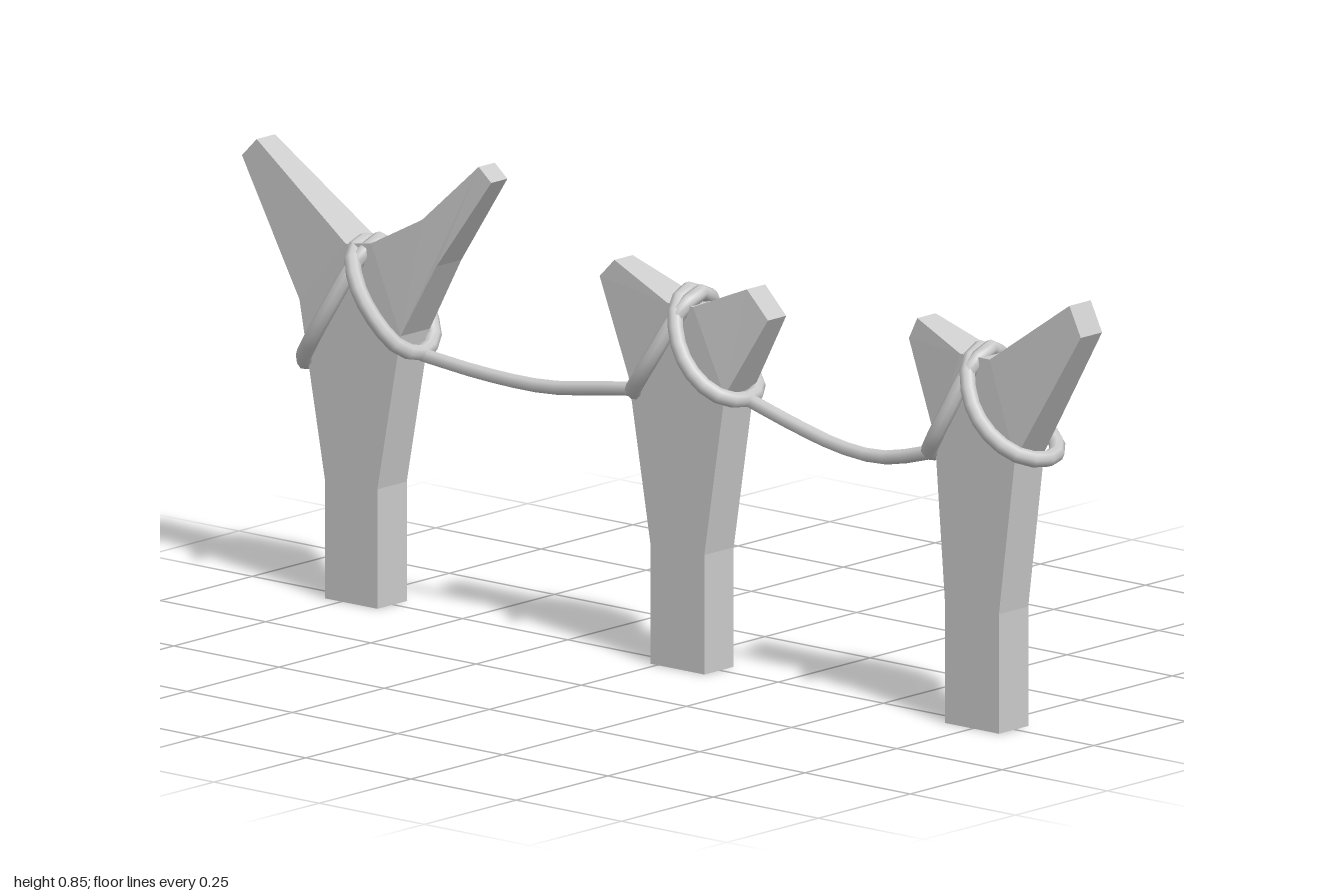
import * as THREE from 'three';

const postMat = new THREE.MeshStandardMaterial({ color: 0xcccccc, flatShading: true, side: THREE.DoubleSide });
const ropeMat = new THREE.MeshStandardMaterial({ color: 0xcccccc });
const ZC = 0.003;

// Forked post: outline points are [x, y, half thickness], with an open foot
function makePost(outline) {
  const shape = new THREE.Shape(outline.map(([x, y]) => new THREE.Vector2(x, y)));
  const geo = new THREE.ExtrudeGeometry(shape, { depth: 1, bevelEnabled: false }).toNonIndexed();
  const pos = geo.attributes.position;
  const kept = [];
  for (let i = 0; i < pos.count; i += 3) {
    if ([0, 1, 2].every(k => pos.getY(i + k) < 1e-4)) continue;
    for (let k = i; k < i + 3; k++) {
      const x = pos.getX(k), y = pos.getY(k);
      const p = outline.find(o => Math.hypot(o[0] - x, o[1] - y) < 1e-4);
      kept.push(x, y, ZC + (pos.getZ(k) > 0.5 ? p[2] : -p[2]));
    }
  }
  const out = new THREE.BufferGeometry();
  out.setAttribute('position', new THREE.Float32BufferAttribute(kept, 3));
  out.computeVertexNormals();
  return new THREE.Mesh(out, postMat);
}

// Rope ring around one arm: top, middle and low end as [x, y]
function makeLoop(top, mid, end) {
  const side = new THREE.QuadraticBezierCurve(
    new THREE.Vector2(...top),
    new THREE.Vector2(2 * mid[0] - (top[0] + end[0]) / 2, 2 * mid[1] - (top[1] + end[1]) / 2),
    new THREE.Vector2(...end));
  const section = [[0, 0], [0.1, 0.045], [0.4, 0.072], [0.7, 0.07], [0.92, 0.047], [1, 0]];
  const at = (t, z) => { const p = side.getPoint(t); return new THREE.Vector3(p.x, p.y, ZC + z); };
  const front = section.map(([t, z]) => at(t, z));
  const back = section.slice(1, -1).reverse().map(([t, z]) => at(t, -z));
  const curve = new THREE.CatmullRomCurve3([...front, ...back], true);
  return new THREE.Mesh(new THREE.TubeGeometry(curve, 20, 0.015, 8, true), ropeMat);
}

// Slack rope between two posts
function makeSpan(points) {
  const curve = new THREE.CatmullRomCurve3(points.map(([x, y]) => new THREE.Vector3(x, y, -0.002)));
  return new THREE.Mesh(new THREE.TubeGeometry(curve, 10, 0.013, 8), ropeMat);
}

export function createModel() {
  const model = new THREE.Group();
  const add = (mesh, name) => { mesh.name = name; model.add(mesh); };
  const B = 0.04, T = 0.025;

  const posts = [
    { name: 'right',
      foot: [-0.79, -0.665],
      rightArm: [[-0.85, 0.54, B], [-1, 0.78, T], [-0.965, 0.815, T], [-0.74, 0.66, B]],
      leftArm: [[-0.68, 0.67, B], [-0.565, 0.73, 0.033], [-0.44, 0.845, 0.022], [-0.41, 0.82, 0.022],
        [-0.53, 0.65, 0.034], [-0.61, 0.51, B]],
      loops: [[[-0.695, 0.668], [-0.765, 0.525], [-0.85, 0.42]], [[-0.73, 0.66], [-0.67, 0.575], [-0.595, 0.475]]] },
    { name: 'middle',
      foot: [-0.016, 0.112],
      rightArm: [[-0.068, 0.52, B], [-0.15, 0.69, T], [-0.115, 0.725, T], [0.025, 0.67, B]],
      leftArm: [[0.085, 0.672, B], [0.2, 0.72, T], [0.25, 0.67, T], [0.16, 0.52, B]],
      loops: [[[0.07, 0.69], [0.01, 0.565], [-0.065, 0.488]], [[0.04, 0.69], [0.095, 0.58], [0.178, 0.51]]] },
    { name: 'left',
      foot: [0.684, 0.812],
      rightArm: [[0.66, 0.52, B], [0.585, 0.69, T], [0.605, 0.73, T], [0.72, 0.685, B]],
      leftArm: [[0.79, 0.685, B], [0.97, 0.81, 0.029], [0.997, 0.755, 0.029], [0.85, 0.51, B]],
      loops: [[[0.758, 0.695], [0.705, 0.56], [0.642, 0.488]], [[0.733, 0.69], [0.795, 0.58], [0.895, 0.512]]] },
  ];

  for (const p of posts) {
    const [l, r] = p.foot;
    const outline = [[l, 0, B], [l, 0.22, B], ...p.rightArm, ...p.leftArm, [r, 0.22, B], [r, 0, B]];
    add(makePost(outline), `${p.name}Post`);
    p.loops.forEach((loop, i) => add(makeLoop(...loop), `${p.name}RopeLoop${i + 1}`));
  }

  add(makeSpan([[-0.595, 0.47], [-0.45, 0.458], [-0.3, 0.457], [-0.17, 0.475], [-0.065, 0.49]]), 'rightRopeSpan');
  add(makeSpan([[0.178, 0.508], [0.29, 0.478], [0.4, 0.455], [0.5, 0.452], [0.642, 0.488]]), 'leftRopeSpan');
  return model;
}
